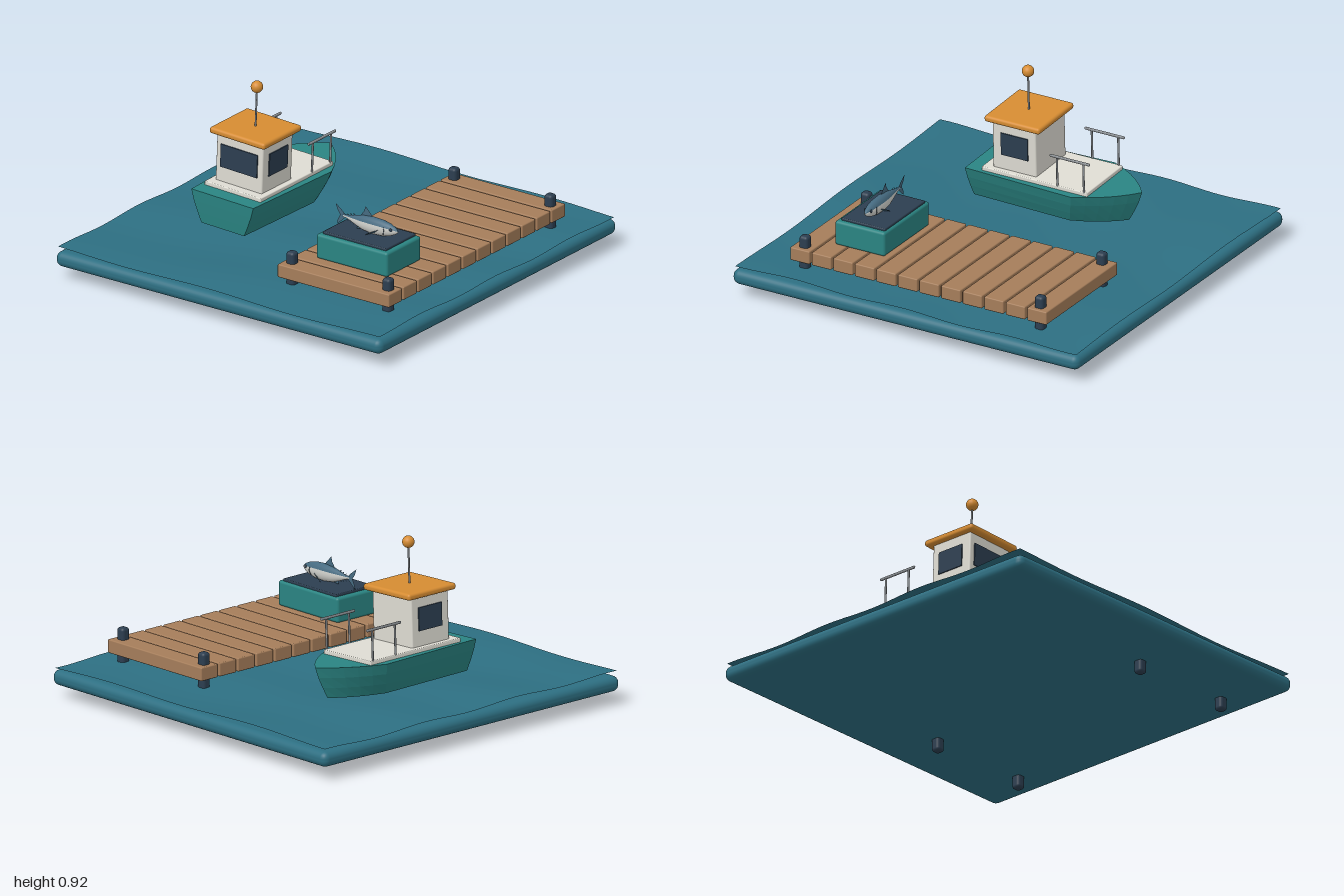
import * as THREE from 'three';
import { RoundedBoxGeometry } from 'three/addons/geometries/RoundedBoxGeometry.js';

const mat = (name, color, side = THREE.FrontSide) => {
  const m = new THREE.MeshStandardMaterial({ color, side });
  m.name = name;
  return m;
};

export function createModel() {
  const water = mat('waterBlue', 0x2d6f82, THREE.DoubleSide);
  const teal = mat('tealPaint', 0x2a8482);
  const wood = mat('wood', 0xa57d5a);
  const navy = mat('darkNavy', 0x2c3e50);
  const white = mat('offWhite', 0xdedcd3);
  const orange = mat('orange', 0xd68c32);
  const metal = mat('greyMetal', 0x8d9296);
  const fishBlue = mat('fishBlue', 0x456a80, THREE.DoubleSide);
  const fishPale = mat('fishSilver', 0xcfd0cb, THREE.DoubleSide);

  const model = new THREE.Group();
  model.name = 'harbourScene';

  const add = (parent, name, geo, material, x = 0, y = 0, z = 0) => {
    const m = new THREE.Mesh(geo, material);
    m.name = name;
    m.position.set(x, y, z);
    parent.add(m);
    return m;
  };
  const group = (name, x = 0, y = 0, z = 0) => {
    const g = new THREE.Group();
    g.name = name;
    g.position.set(x, y, z);
    model.add(g);
    return g;
  };
  const rbox = (w, h, d, r) => new RoundedBoxGeometry(w, h, d, 3, r);
  const box = (w, h, d) => new THREE.BoxGeometry(w, h, d);

  // Water: rounded slab with a thin rippled sheet above it
  add(model, 'waterSlab', rbox(2, 0.08, 2, 0.036), water, 0, 0.106, 0);
  const waves = new THREE.PlaneGeometry(1.97, 1.97, 40, 40).rotateX(-Math.PI / 2);
  const wp = waves.attributes.position;
  for (let i = 0; i < wp.count; i++) {
    const x = wp.getX(i), z = wp.getZ(i);
    wp.setY(i, 0.163 + 0.006 * Math.sin(x * 6 + z * 2) + 0.006 * Math.sin(z * 10 + x * 1.5));
  }
  waves.computeVertexNormals();
  add(model, 'waterSurface', waves, water);

  // Dock: planks and four posts
  const dock = group('dock');
  for (let i = 0; i < 12; i++)
    add(dock, 'plank', rbox(0.685, 0.07, 0.112, 0.006), wood, 0.523, 0.244, -0.685 + i * 0.1245);
  for (const x of [0.228, 0.818])
    for (const z of [-0.68, 0.68])
      add(dock, 'dockPost', rbox(0.05, 0.34, 0.05, 0.016), navy, x, 0.17, z);

  // Boat: built level, then rolled slightly to one side
  const boat = group('boat', -0.42, 0.28, 0);
  boat.rotation.z = -0.04;

  // Hull: deck outline extruded and tapered towards the bottom
  const outline = new THREE.Shape();
  outline.moveTo(-0.19, -0.385);
  outline.lineTo(0.19, -0.385);
  outline.lineTo(0.215, 0.24);
  outline.quadraticCurveTo(0.14, 0.42, 0, 0.525);
  outline.quadraticCurveTo(-0.14, 0.42, -0.215, 0.24);
  outline.closePath();
  const height = 0.17;
  const hull = new THREE.ExtrudeGeometry(outline, {
    depth: height, steps: 3, bevelEnabled: false, curveSegments: 5,
  }).rotateX(-Math.PI / 2);
  const hp = hull.attributes.position;
  for (let i = 0; i < hp.count; i++) {
    const depth = THREE.MathUtils.clamp(1 - hp.getY(i) / height, 0, 1);
    const k = Math.pow(depth, 1.25);
    hp.setX(i, hp.getX(i) * (1 - 0.31 * k));
    hp.setZ(i, hp.getZ(i) * (1 - 0.1 * k) + 0.025 * k);
  }
  hull.computeVertexNormals();
  add(boat, 'hull', hull, teal, 0, -0.083, 0);
  add(boat, 'deck', rbox(0.345, 0.025, 0.61, 0.005), white, 0, 0.095, -0.005);

  // Cabin with windows on the front and both sides
  add(boat, 'cabin', rbox(0.285, 0.265, 0.25, 0.008), white, 0, 0.2325, 0.125);
  add(boat, 'sternWindow', box(0.225, 0.122, 0.008), navy, 0, 0.247, 0.252);
  for (const s of [-1, 1])
    add(boat, 'sideWindow', box(0.008, 0.12, 0.155), navy, s * 0.1445, 0.247, 0.122);
  add(boat, 'roof', rbox(0.34, 0.034, 0.32, 0.014), orange, 0, 0.376, 0.122);
  add(boat, 'mast', new THREE.CylinderGeometry(0.005, 0.005, 0.21, 10), metal, 0, 0.485, 0.122);
  add(boat, 'mastLamp', new THREE.SphereGeometry(0.031, 20, 14), orange, 0, 0.605, 0.122);

  // Side railings
  for (const s of [-1, 1]) {
    add(boat, 'rail', rbox(0.012, 0.014, 0.23, 0.005), metal, s * 0.168, 0.266, -0.212);
    for (const z of [-0.29, -0.137])
      add(boat, 'railPost', new THREE.CylinderGeometry(0.0055, 0.0055, 0.165, 8), metal, s * 0.168, 0.185, z);
  }

  // Crate with a dark inset top
  add(model, 'crate', rbox(0.437, 0.13, 0.288, 0.014), teal, 0.508, 0.344, 0.422);
  add(model, 'crateTop', rbox(0.388, 0.022, 0.252, 0.005), navy, 0.508, 0.41, 0.416);

  // Fish: sections are [x, centre height, half height, half width]
  const fish = group('fish', 0, 0, 0.416);
  const sections = [
    [0.35, 0.475, 0.007, 0.004], [0.38, 0.472, 0.011, 0.007], [0.42, 0.469, 0.024, 0.015],
    [0.47, 0.466, 0.038, 0.025], [0.53, 0.465, 0.045, 0.031], [0.59, 0.465, 0.042, 0.03],
    [0.635, 0.465, 0.033, 0.024], [0.667, 0.465, 0.019, 0.014], [0.68, 0.465, 0.009, 0.007],
    [0.686, 0.465, 0.001, 0.001],
  ];
  const fishSkin = (a0, a1, n) => {
    const pos = [], idx = [];
    sections.forEach(([x, cy, h, w], i) => {
      for (let j = 0; j <= n; j++) {
        const a = a0 + (a1 - a0) * j / n;
        pos.push(x, cy + h * Math.sin(a), w * Math.cos(a));
        if (i && j) {
          const q = i * (n + 1) + j, p = q - n - 1;
          idx.push(p - 1, q - 1, q, p - 1, q, p);
        }
      }
    });
    const g = new THREE.BufferGeometry();
    g.setAttribute('position', new THREE.Float32BufferAttribute(pos, 3));
    g.setIndex(idx);
    g.computeVertexNormals();
    return g;
  };
  add(fish, 'fishBack', fishSkin(0.35, Math.PI - 0.35, 10), fishBlue);
  add(fish, 'fishBelly', fishSkin(Math.PI - 0.35, 2 * Math.PI + 0.35, 14), fishPale);

  // Flat fins in the fish's middle plane
  const flat = (pts) => new THREE.ShapeGeometry(new THREE.Shape(pts.map(p => new THREE.Vector2(...p))));
  add(fish, 'tailFin', flat([[0.365, 0.478], [0.335, 0.505], [0.302, 0.528], [0.312, 0.5],
    [0.33, 0.473], [0.315, 0.445], [0.312, 0.42], [0.338, 0.443], [0.365, 0.468]]), fishBlue);
  add(fish, 'dorsalFin', flat([[0.535, 0.505], [0.51, 0.53], [0.485, 0.556], [0.478, 0.53], [0.452, 0.495]]), fishBlue);
  add(fish, 'analFin', flat([[0.47, 0.43], [0.435, 0.448], [0.432, 0.424]]), fishBlue);
  for (const x of [0.382, 0.4, 0.418]) {
    const h = 0.008 + (x - 0.382) * 0.35;
    add(fish, 'finlet', flat([[x + 0.01, 0.47 + h], [x - 0.008, 0.484 + h], [x - 0.004, 0.47 + h]]), fishBlue);
    add(fish, 'finlet', flat([[x + 0.01, 0.472 - h], [x - 0.004, 0.472 - h], [x - 0.008, 0.458 - h]]), fishBlue);
  }

  // Paired fins, eyes and gill lines
  for (const s of [-1, 1]) {
    const fin = add(fish, 'pectoralFin', flat([[0.012, 0.008], [-0.05, 0.006], [-0.068, -0.006], [0.006, -0.012]]),
      fishBlue, 0.575, 0.452, s * 0.027);
    fin.rotation.set(s * 0.9, s * 0.5, 0);
    const eye = add(fish, 'eye', new THREE.SphereGeometry(0.009, 12, 8), navy, 0.652, 0.472, s * 0.018);
    eye.scale.z = 0.5;
    const gill = [-0.8, -0.4, 0, 0.4].map(a => new THREE.Vector3(
      0.605 + 0.012 * (1 - Math.abs(a)), 0.465 + 0.039 * Math.sin(a), s * 0.0285 * Math.cos(a)));
    add(fish, 'gillLine', new THREE.TubeGeometry(new THREE.CatmullRomCurve3(gill), 10, 0.0016, 5), navy);
  }

  return model;
}
